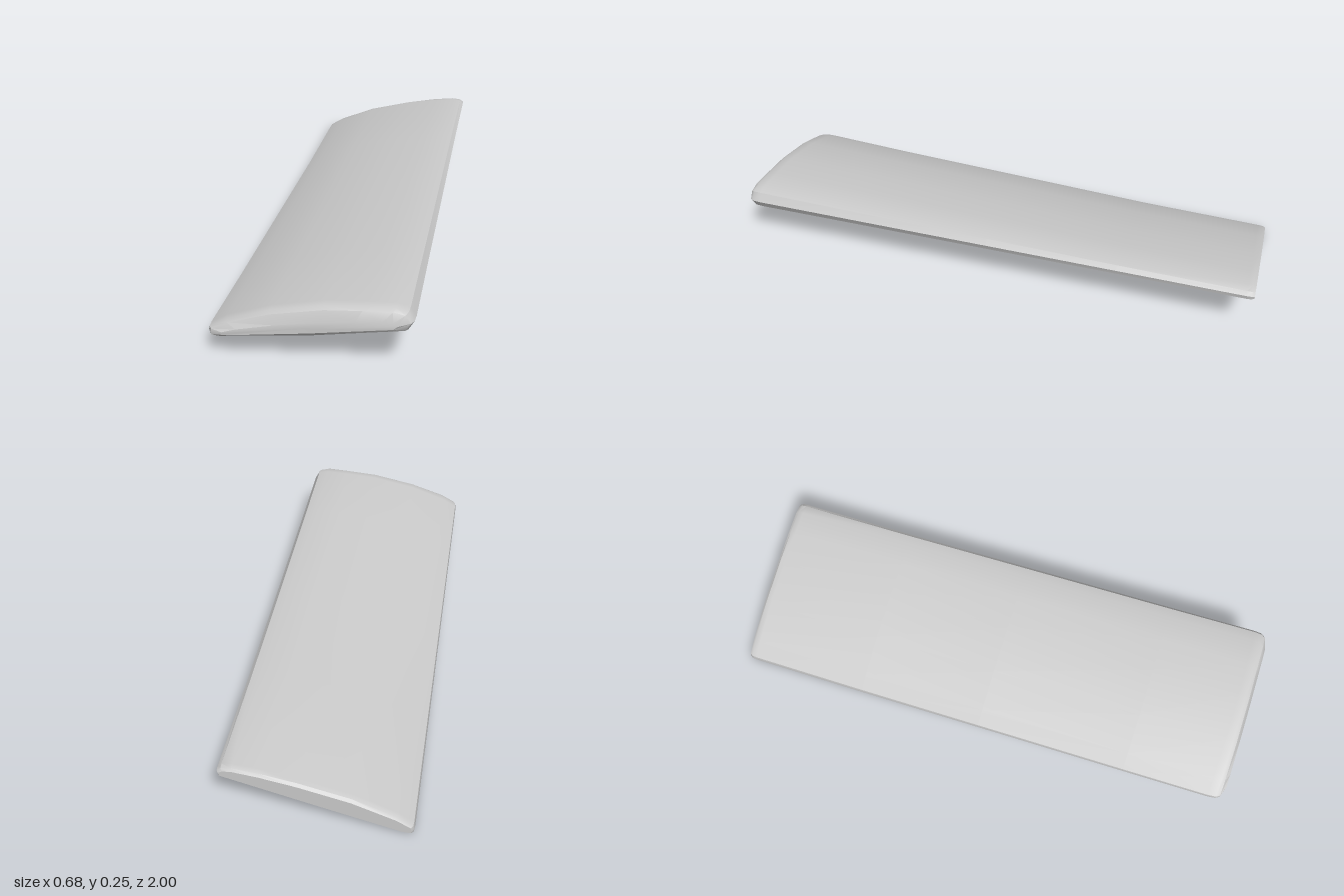
import * as THREE from 'three';
import { toCreasedNormals } from 'three/addons/utils/BufferGeometryUtils.js';

// Aerofoil sections (x, y), clockwise from the thin edge over the top
const frontSection = [
  [-0.34, 0.1], [-0.337, 0.113], [-0.28, 0.147], [-0.13, 0.2], [0.05, 0.238], [0.18, 0.248], [0.28, 0.253],
  [0.32, 0.243], [0.339, 0.21], [0.32, 0.177], [0, 0.12], [-0.31, 0.083], [-0.336, 0.086],
];
const backSection = [
  [-0.339, 0.012], [-0.335, 0.03], [-0.28, 0.065], [-0.13, 0.128], [0.05, 0.175], [0.18, 0.2], [0.27, 0.21],
  [0.305, 0.206], [0.319, 0.194], [0.316, 0.179], [0, 0.087], [-0.305, 0.001], [-0.336, 0],
];

// Stations along the blade: z, blend from back to front, x scale, y scale about the chord line
const stations = [
  [-1, 0, 0.975, 0.8], [-0.99, 0, 0.995, 0.96], [-0.97, 0, 1, 1],
  [-0.5, 0.14, 1, 1], [0, 0.42, 1, 1], [0.6, 0.75, 1, 1], [0.94, 0.98, 1, 1],
  [0.97, 1, 0.992, 0.97], [0.985, 1, 0.965, 0.85], [1, 1, 0.85, 0.35],
];

function ring([z, t, sx, sy]) {
  const pts = backSection.map(([x, y], j) => [
    THREE.MathUtils.lerp(x, frontSection[j][0], t),
    THREE.MathUtils.lerp(y, frontSection[j][1], t),
  ]);
  // chord line from the thin edge to the blunt edge
  const [x0, y0] = pts[0], [x1, y1] = pts[8];
  const chord = x => y0 + (y1 - y0) * (x - x0) / (x1 - x0);
  return pts.map(([x, y]) => [x * sx, chord(x * sx) + (y - chord(x)) * sy, z]);
}

function bladeGeometry() {
  const rings = stations.map(ring);
  const n = backSection.length, last = rings.length - 1;
  const positions = rings.flat(2), index = [];
  // skin
  for (let i = 0; i < last; i++) {
    for (let j = 0; j < n; j++) {
      const k = (j + 1) % n;
      const a = i * n + j, b = i * n + k, c = b + n, d = a + n;
      index.push(a, d, c, a, c, b);
    }
  }
  // end caps, each a fan around its middle
  for (const i of [0, last]) {
    const centre = positions.length / 3;
    for (let axis = 0; axis < 3; axis++) {
      positions.push(rings[i].reduce((sum, p) => sum + p[axis], 0) / n);
    }
    for (let j = 0; j < n; j++) {
      const a = i * n + j, b = i * n + (j + 1) % n;
      index.push(centre, ...(i === 0 ? [a, b] : [b, a]));
    }
  }
  const geometry = new THREE.BufferGeometry();
  geometry.setAttribute('position', new THREE.Float32BufferAttribute(positions, 3));
  geometry.setIndex(index);
  return toCreasedNormals(geometry, 0.6);
}

export function createModel() {
  const group = new THREE.Group();
  group.name = 'twistedBlade';
  const blade = new THREE.Mesh(bladeGeometry(), new THREE.MeshStandardMaterial({ color: 0xcccccc }));
  blade.name = 'blade';
  group.add(blade);
  return group;
}
